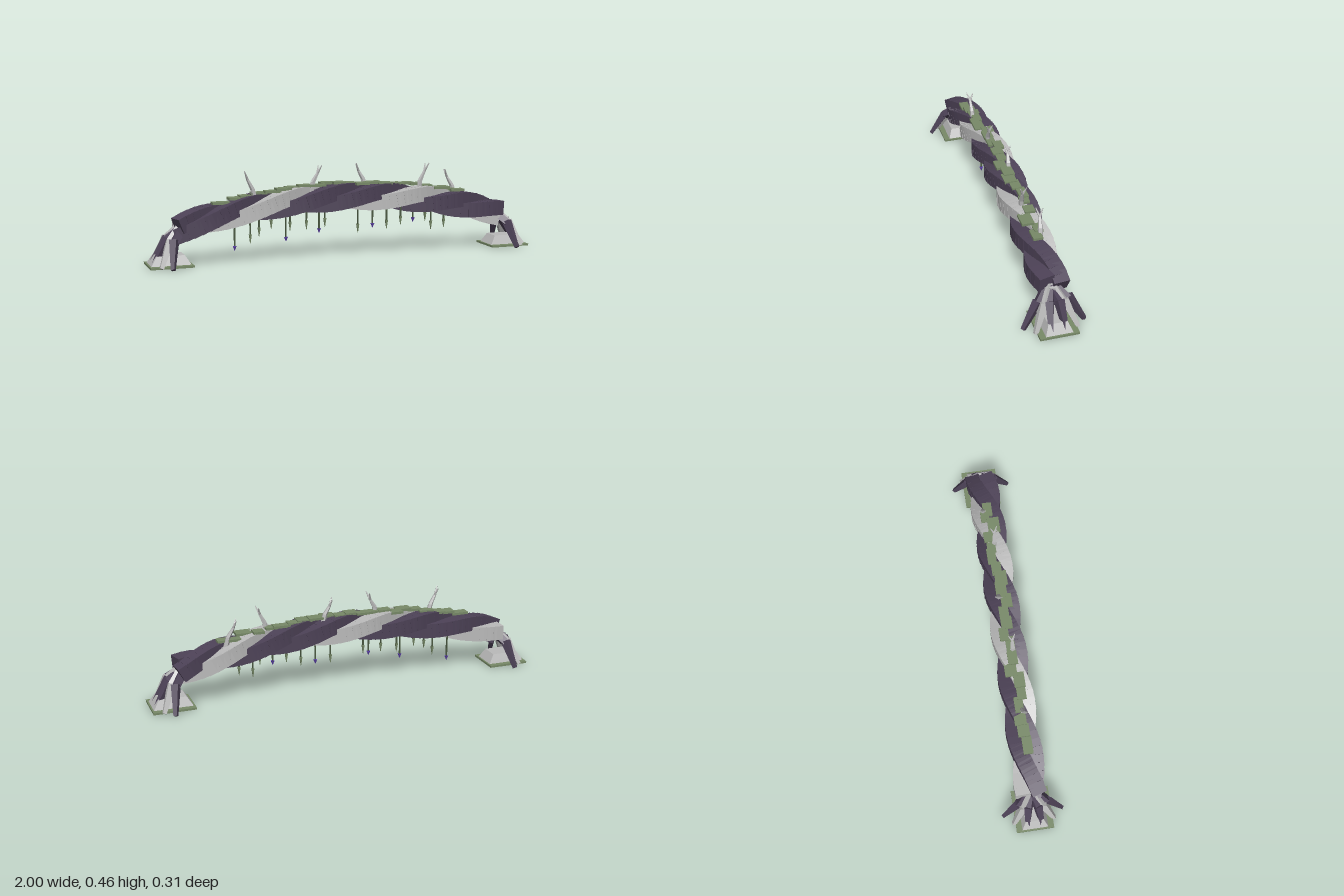
import * as THREE from 'three';

const mat = (name, color) => Object.assign(new THREE.MeshStandardMaterial({ color }), { name });

export function createModel() {
  const dark = mat('dark bark', 0x4d4257);
  const pale = mat('pale bark', 0xbababa);
  const moss = mat('moss', 0x788a68);
  const vineMat = mat('vine', 0x4b5a42);
  const bloom = mat('bloom', 0x6848c0);

  const root = new THREE.Group();
  root.name = 'twistedRootBridge';

  let seed = 7;
  const rnd = () => (seed = (seed * 16807) % 2147483647) / 2147483647;

  const END = 0.83;
  const archY = (x) => 0.297 - 0.122 * (x / 0.86) ** 2;
  const archSlope = (x) => -0.33 * x;

  const add = (parent, name, geo, material, x = 0, y = 0, z = 0) => {
    const m = new THREE.Mesh(geo, material);
    m.name = name;
    m.position.set(x, y, z);
    parent.add(m);
    return m;
  };

  // Tapered strut between two points
  const UP = new THREE.Vector3(0, 1, 0);
  const strut = (parent, name, a, b, wa, wb, material, sides = 4) => {
    const p = new THREE.Vector3(...a), q = new THREE.Vector3(...b);
    const d = q.clone().sub(p);
    const g = new THREE.CylinderGeometry(wb * 0.707, wa * 0.707, d.length(), sides).toNonIndexed();
    g.rotateY(Math.PI / 4);
    g.computeVertexNormals();
    const m = add(parent, name, g, material);
    m.position.copy(p).add(q).multiplyScalar(0.5);
    m.quaternion.setFromUnitVectors(UP, d.normalize());
  };

  // Three strands of overlapping blocks, each turned along its own helix
  const STEPS = 50, RY = 0.031, RZ = 0.043;
  const twist = (x) => 2.09 + 8.73 * x + 0.52 * x * x;
  const block = new THREE.BoxGeometry(0.06, 0.075, 0.076);
  [pale, dark, dark].forEach((material, k) => {
    const strand = new THREE.Group();
    strand.name = 'strand' + (k + 1);
    root.add(strand);
    for (let i = 0; i < STEPS; i++) {
      const x = -END + (2 * END * i) / (STEPS - 1);
      const a = twist(x) + (k * 2 * Math.PI) / 3;
      const m = add(strand, 'strandBlock', block, material,
        x, archY(x) + RY * Math.cos(a), -RZ * Math.sin(a));
      m.rotation.y = Math.atan(8.73 * RZ * Math.cos(a));
      m.rotation.z = Math.atan(archSlope(x) - 8.73 * RY * Math.sin(a));
    }
  });

  // Moss patches along the top
  for (let i = 0; i < 22; i++) {
    const x = -0.63 + i * 0.06 + (rnd() - 0.5) * 0.02;
    const g = new THREE.BoxGeometry(0.05 + rnd() * 0.04, 0.012, 0.042 + rnd() * 0.02);
    add(root, 'mossPatch', g, moss, x, archY(x) + 0.064 + rnd() * 0.008, (rnd() - 0.5) * 0.045);
  }

  // Forked twigs: base x, tip x, tip y, base z, tip z
  [
    [-0.465, -0.505, 0.405, 0.01, 0.015],
    [-0.18, -0.145, 0.42, 0.01, 0.012],
    [0.12, 0.085, 0.42, -0.015, -0.02],
    [0.4, 0.435, 0.41, 0.005, 0.01],
    [0.62, 0.58, 0.37, -0.02, -0.03],
  ].forEach(([bx, tx, ty, bz, tz]) => {
    const twig = new THREE.Group();
    twig.name = 'forkedTwig';
    root.add(twig);
    const s = Math.sign(tx - bx);
    const base = [bx, archY(bx) + 0.03, bz], tip = [tx, ty, tz];
    const bend = [bx + (tx - bx) * 0.35, (base[1] + ty) / 2 + 0.008, (bz + tz) / 2];
    strut(twig, 'twigBase', base, bend, 0.023, 0.017, pale, 5);
    strut(twig, 'twigStem', bend, tip, 0.017, 0.01, pale, 5);
    strut(twig, 'twigFork', tip, [tx + s * 0.018, ty + 0.042, tz + 0.015], 0.01, 0.003, pale, 5);
    strut(twig, 'twigFork', tip, [tx + s * 0.01, ty + 0.038, tz - 0.017], 0.01, 0.003, pale, 5);
  });

  // Hanging vines: x, lowest y, has bloom
  [
    [-0.565, 0.05, 1], [-0.49, 0.085], [-0.45, 0.12], [-0.38, 0.15], [-0.31, 0.085, 1],
    [-0.28, 0.135], [-0.2, 0.14], [-0.14, 0.12, 1], [-0.1, 0.145], [0.07, 0.11],
    [0.16, 0.125, 1], [0.23, 0.12], [0.3, 0.14], [0.38, 0.145, 1], [0.44, 0.15],
    [0.485, 0.1], [0.55, 0.11],
  ].forEach(([x, low, flower], i) => {
    const vine = new THREE.Group();
    vine.name = 'hangingVine';
    root.add(vine);
    const z = ((i * 7) % 5 - 2) * 0.009, top = archY(x) - 0.03;
    strut(vine, 'vineStem', [x, top, z], [x, low + 0.015, z], 0.008, 0.006, vineMat);
    if (flower) {
      const bud = add(vine, 'vineBloom', new THREE.ConeGeometry(0.01, 0.024, 6), bloom, x, low + 0.012, z);
      bud.rotation.x = Math.PI;
    } else {
      strut(vine, 'vineLeaf', [x, low + 0.045, z], [x, low, z], 0.013, 0.002, moss);
    }
  });

  // Footings and splayed roots at both ends
  for (const s of [-1, 1]) {
    const foot = new THREE.Group();
    foot.name = s < 0 ? 'rightFooting' : 'leftFooting';
    root.add(foot);
    add(foot, 'mossSlab', new THREE.BoxGeometry(0.21, 0.01, 0.186), moss, s * 0.895, 0.007, 0);
    add(foot, 'footingBase', new THREE.BoxGeometry(0.18, 0.006, 0.156), pale, s * 0.895, 0.003, 0);
    const stone = new THREE.CylinderGeometry(0.707 * 0.7, 0.707, 1, 4).toNonIndexed();
    stone.rotateY(Math.PI / 4);
    stone.computeVertexNormals();
    add(foot, 'footingStone', stone, pale, s * 0.895, 0.034, 0).scale.set(0.195, 0.046, 0.13);

    for (const t of [-1, 1]) {
      // shoulder y, knee x, y, z, foot x, z, material
      [
        [0.175, 0.885, 0.122, 0.07, 0.905, 0.145, dark],
        [0.182, 0.9, 0.12, 0.048, 0.95, 0.1, pale],
        [0.172, 0.905, 0.125, 0.022, 0.98, 0.036, dark],
      ].forEach(([sy, kx, ky, kz, fx, fz, material]) => {
        const knee = [s * kx, ky, t * kz];
        strut(foot, 'rootShoulder', [s * 0.835, sy, t * kz * 0.15], knee, 0.043, 0.035, material);
        strut(foot, 'rootLeg', [s * (kx - 0.003), ky + 0.012, t * kz], [s * fx, 0.006, t * fz], 0.037, 0.018, material);
      });
    }
  }

  return root;
}
